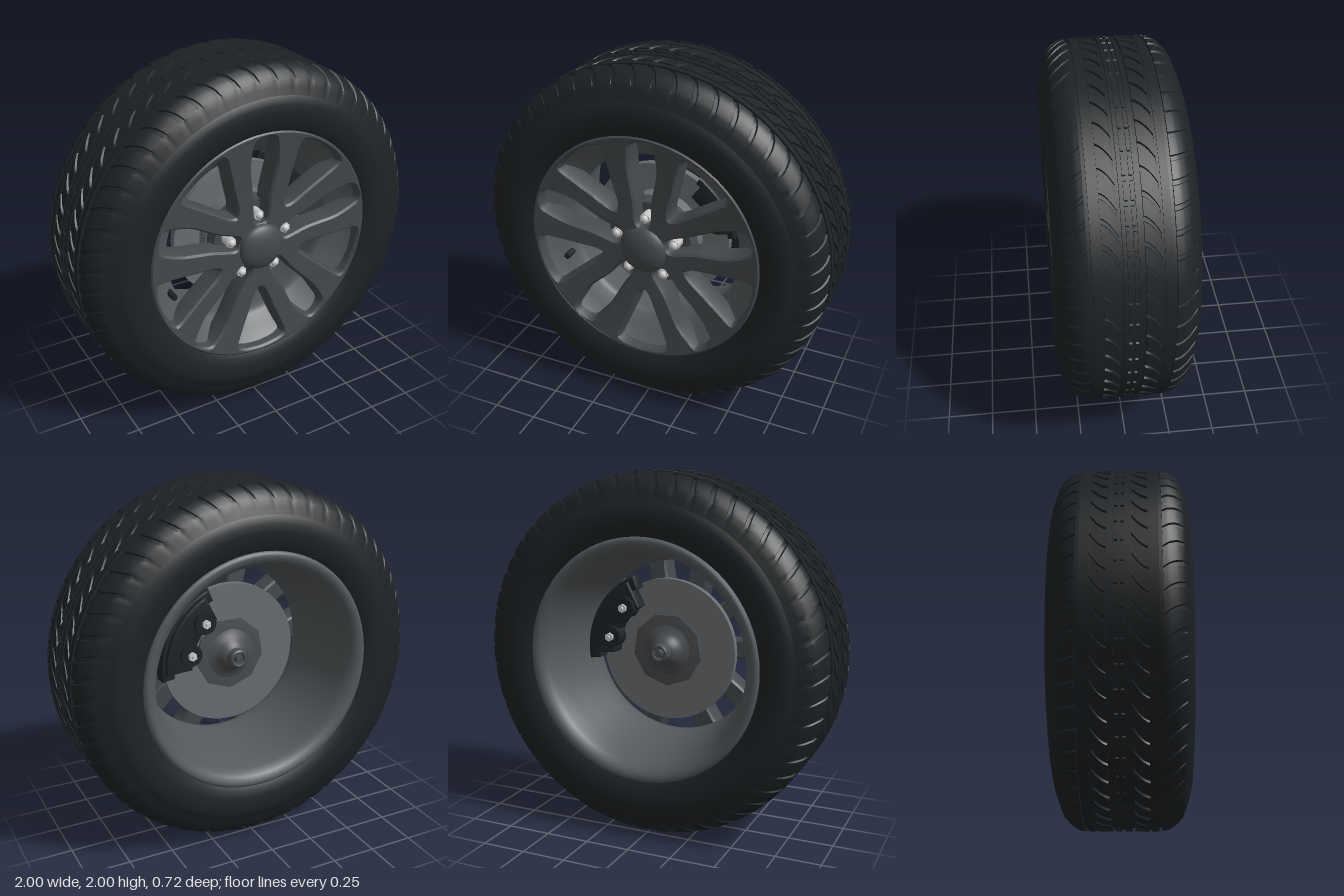
import * as THREE from 'three';
import { toCreasedNormals } from 'three/addons/utils/BufferGeometryUtils.js';

const mat = (color, side = THREE.FrontSide) => new THREE.MeshStandardMaterial({ color, side });
const rubber = mat(0x1e2225);
const rubberWall = mat(0x1f2326, THREE.DoubleSide);
const alloy = mat(0x45494c);
const barrelMat = mat(0x55595c, THREE.DoubleSide);
const steel = mat(0x6a6e71);
const hubMat = mat(0x4a4d50, THREE.DoubleSide);
const iron = mat(0x1f2326);
const bright = mat(0xc4c6c8);
const TAU = Math.PI * 2;

function add(parent, name, geometry, material, x = 0, y = 0, z = 0) {
  const m = new THREE.Mesh(geometry, material);
  m.name = name;
  m.position.set(x, y, z);
  parent.add(m);
}

// Revolve [radius, z] pairs around the axle (z)
function revolve(profile, segments = 96, crease = 0.6) {
  const g = new THREE.LatheGeometry(profile.map(([r, z]) => new THREE.Vector2(r, z)), segments);
  return toCreasedNormals(g.rotateX(Math.PI / 2), crease);
}

// Cylinder lying along z, from z0 to z1
const rod = (r, z0, z1, sides = 24) =>
  new THREE.CylinderGeometry(r, r, z1 - z0, sides).rotateX(Math.PI / 2).translate(0, 0, (z0 + z1) / 2);

// Tread crown radius at a given distance from the centre plane
const crown = [[0, 1], [0.2, 0.999], [0.24, 0.991], [0.28, 0.967], [0.315, 0.93], [0.345, 0.855]];
function crownRadius(z) {
  const a = Math.abs(z);
  for (let i = 1; i < crown.length; i++) {
    const [z0, r0] = crown[i - 1], [z1, r1] = crown[i];
    if (a <= z1) return r0 + (r1 - r0) * (a - z0) / (z1 - z0);
  }
  return 0.855;
}

// Tread: ribs parted by grooves, with slots that follow a sheared grid
function treadGeometry() {
  const PITCHES = 54;
  const half = [ // z start, z end, steps, slot depth, shear, depth of groove before and after
    [0.008, 0.024, 1, 0.008, 0, 0.012, 0.012], [0.029, 0.044, 1, 0, 0, 0.012, 0.018],
    [0.06, 0.138, 6, 0.012, 0.085, 0.018, 0.008], [0.15, 0.188, 1, 0, 0, 0.008, 0.018],
    [0.206, 0.345, 9, 0.009, -0.075, 0.018, 0],
  ];
  const ribs = [
    ...half.map(([a, b, n, slot, shear, g0, g1]) => [-b, -a, n, slot, shear, g1, g0]).reverse(),
    ...half,
  ];
  const columns = [];
  ribs.forEach(([a, b, n, slot, shear, before, after], k) => {
    if (k > 0) columns.push({ z: a, base: before, slot: 0, turn: 0 });
    for (let i = 0; i <= n; i++) {
      const t = i / n, z = a + (b - a) * t;
      const fade = THREE.MathUtils.clamp((0.332 - Math.abs(z)) / 0.04, 0, 1);
      const turn = shear * (t - 0.5 + 0.7 * t * (1 - t));
      columns.push({ z, base: 0, slot: slot * fade, turn });
    }
    if (k < ribs.length - 1) columns.push({ z: b, base: after, slot: 0, turn: 0 });
  });
  const pattern = [[0, 0], [0.04, 1], [0.22, 1], [0.26, 0], [0.5, 0], [0.75, 0]];
  const rows = PITCHES * pattern.length, pos = [], idx = [];
  for (const c of columns) {
    for (let j = 0; j < rows; j++) {
      const [f, cut] = pattern[j % pattern.length];
      const angle = (Math.floor(j / pattern.length) + f) / PITCHES * TAU + c.turn;
      const r = crownRadius(c.z) - c.base - c.slot * cut;
      pos.push(r * Math.cos(angle), r * Math.sin(angle), c.z);
    }
  }
  for (let i = 0; i < columns.length - 1; i++) {
    for (let j = 0; j < rows; j++) {
      const a = i * rows + j, b = i * rows + (j + 1) % rows;
      idx.push(a, b, b + rows, a, b + rows, a + rows);
    }
  }
  const g = new THREE.BufferGeometry();
  g.setAttribute('position', new THREE.Float32BufferAttribute(pos, 3));
  g.setIndex(idx);
  return toCreasedNormals(g, 0.5);
}

// Window outline: points given with +y outward, turned to the wanted angle
function windowPath(points, angle) {
  const c = Math.cos(angle - Math.PI / 2), s = Math.sin(angle - Math.PI / 2);
  const curve = new THREE.CatmullRomCurve3(
    points.map(([x, y]) => new THREE.Vector3(x * c - y * s, x * s + y * c, 0)), true, 'catmullrom', 0.35);
  return new THREE.Path(curve.getPoints(56).slice(0, -1).map(p => new THREE.Vector2(p.x, p.y)));
}

// Halve the longest edge of every triangle until none exceeds the limit
function subdivide(geometry, limit) {
  const p = geometry.attributes.position, out = [], stack = [];
  const corner = i => new THREE.Vector3().fromBufferAttribute(p, i);
  for (let i = 0; i < p.count; i += 3) stack.push([corner(i), corner(i + 1), corner(i + 2)]);
  while (stack.length) {
    const t = stack.pop();
    const len = t.map((v, k) => v.distanceTo(t[(k + 1) % 3]));
    const k = len.indexOf(Math.max(...len));
    if (len[k] <= limit) {
      t.forEach(v => out.push(v.x, v.y, v.z));
      continue;
    }
    const a = t[k], b = t[(k + 1) % 3], c = t[(k + 2) % 3], m = a.clone().add(b).multiplyScalar(0.5);
    stack.push([a, m, c], [m, b, c]);
  }
  return new THREE.BufferGeometry().setAttribute('position', new THREE.Float32BufferAttribute(out, 3));
}

// Spoked face: a disc with ten windows, slightly dished towards the hub
function spokeGeometry() {
  const shape = new THREE.Shape().absarc(0, 0, 0.672, 0, TAU);
  const slot = [[-0.036, 0.16], [-0.045, 0.3], [-0.068, 0.48], [-0.055, 0.61], [0, 0.636],
    [0.06, 0.625], [0.08, 0.48], [0.046, 0.3], [0.036, 0.16], [0, 0.14]];
  const vee = [[0, 0.265], [-0.03, 0.3], [-0.07, 0.4], [-0.115, 0.51], [-0.145, 0.6], [-0.09, 0.627],
    [0, 0.636], [0.09, 0.627], [0.145, 0.6], [0.115, 0.51], [0.07, 0.4], [0.03, 0.3]];
  for (let i = 0; i < 5; i++) {
    const a = Math.PI / 2 + i * TAU / 5;
    shape.holes.push(windowPath(slot, a), windowPath(vee, a + TAU / 10));
  }
  const g = subdivide(new THREE.ExtrudeGeometry(shape, {
    depth: 0.06, curveSegments: 96, bevelThickness: 0.04, bevelSize: 0.015, bevelOffset: -0.015, bevelSegments: 2,
  }), 0.08);
  const p = g.attributes.position;
  for (let i = 0; i < p.count; i++) {
    const r = Math.hypot(p.getX(i), p.getY(i));
    p.setZ(i, p.getZ(i) + 0.207 + 0.033 * (r / 0.668) ** 2);
  }
  return toCreasedNormals(g, 0.5);
}

// Ring segment between two radii and two angles (degrees), from z0 to z1
function sector(r0, r1, a0, a1, z0, z1) {
  const d = Math.PI / 180, s = new THREE.Shape(), b = 0.012;
  s.absarc(0, 0, r1, a0 * d, a1 * d, false);
  s.absarc(0, 0, r0, a1 * d, a0 * d, true);
  const g = new THREE.ExtrudeGeometry(s, {
    depth: z1 - z0 - 2 * b, bevelThickness: b, bevelSize: b, bevelOffset: -b, bevelSegments: 2, curveSegments: 12,
  });
  return toCreasedNormals(g.translate(0, 0, z0 + b), 0.6);
}

export function createModel() {
  const root = new THREE.Group();
  root.name = 'wheel';
  const wheel = new THREE.Group();
  wheel.name = 'wheelAssembly';
  wheel.position.y = 1;
  root.add(wheel);

  // Tyre
  add(wheel, 'tread', treadGeometry(), rubber);
  const wall = [[0.655, 0.29], [0.666, 0.334], [0.69, 0.347], [0.73, 0.356], [0.77, 0.36], [0.81, 0.357],
    [0.858, 0.343], [0.88, 0.32]];
  for (const s of [1, -1]) {
    add(wheel, s > 0 ? 'frontSidewall' : 'backSidewall', revolve(wall.map(([r, z]) => [r, z * s])), rubberWall);
  }

  // Rim barrel and spoked face
  add(wheel, 'rimBarrel', revolve([[0.668, 0.31], [0.655, 0.31], [0.635, 0.285], [0.57, 0.225], [0.515, 0.185],
    [0.5, 0.165], [0.5, 0.13], [0.51, 0.06], [0.535, -0.08], [0.562, -0.21], [0.58, -0.285], [0.592, -0.315],
    [0.608, -0.335], [0.626, -0.347], [0.645, -0.352], [0.66, -0.348], [0.668, -0.335], [0.668, -0.29]], 96, 1),
    barrelMat);
  add(wheel, 'spokes', spokeGeometry(), alloy);
  add(wheel, 'hubPlate', rod(0.245, 0.13, 0.22, 48), alloy);
  add(wheel, 'centreCap', revolve([[0.133, 0.28], [0.133, 0.314], [0.122, 0.328], [0.095, 0.343], [0.06, 0.353],
    [0.03, 0.358], [0, 0.359]], 48, 1), alloy);
  for (let i = 0; i < 5; i++) {
    const a = Math.PI / 2 + i * TAU / 5, x = 0.178 * Math.cos(a), y = 0.178 * Math.sin(a);
    add(wheel, 'lugNut', rod(0.03, 0.2, 0.285, 6), bright, x, y);
    add(wheel, 'lugNutTip', new THREE.SphereGeometry(0.024, 12, 8), bright, x, y, 0.28);
  }
  add(wheel, 'valveStem', rod(0.018, 0.195, 0.265, 12), iron, -0.505, -0.19);

  // Brake disc and axle hub
  add(wheel, 'brakeDisc', rod(0.405, 0.03, 0.07, 64), steel);
  add(wheel, 'discHat', rod(0.25, 0.06, 0.14, 48), steel);
  add(wheel, 'hubFlange', revolve([[0.21, 0.035], [0.21, 0.018], [0.15, 0.012], [0, 0.012]], 9, 0.2), hubMat);
  add(wheel, 'hubBoss', revolve([[0.15, 0.014], [0.11, 0.002], [0.085, -0.018], [0.072, -0.04], [0.054, -0.05],
    [0.05, -0.088], [0.042, -0.095], [0.034, -0.092], [0.032, -0.07], [0, -0.07]], 32), hubMat);
  add(wheel, 'axleNut', rod(0.022, -0.105, -0.065, 6), hubMat);

  // Brake caliper straddling the disc
  const caliper = new THREE.Group();
  caliper.name = 'brakeCaliper';
  wheel.add(caliper);
  add(caliper, 'caliperBody', sector(0.28, 0.435, -4, 63, -0.09, 0.015), iron);
  add(caliper, 'caliperBridge', sector(0.412, 0.455, 8, 58, -0.06, 0.115), iron);
  add(caliper, 'caliperFrontPad', sector(0.33, 0.455, 12, 54, 0.078, 0.12), iron);
  add(caliper, 'caliperBracket', sector(0.38, 0.455, -9, 68, -0.07, 0.02), iron);
  for (const [x, y] of [[0.21, 0.245], [0.295, 0.075]]) {
    add(caliper, 'pistonHousing', rod(0.062, -0.112, -0.03), iron, x, y);
    add(caliper, 'caliperBolt', rod(0.025, -0.13, -0.1, 6), bright, x, y);
    add(caliper, 'caliperBoltTip', rod(0.012, -0.145, -0.125, 10), bright, x, y);
  }
  return root;
}
